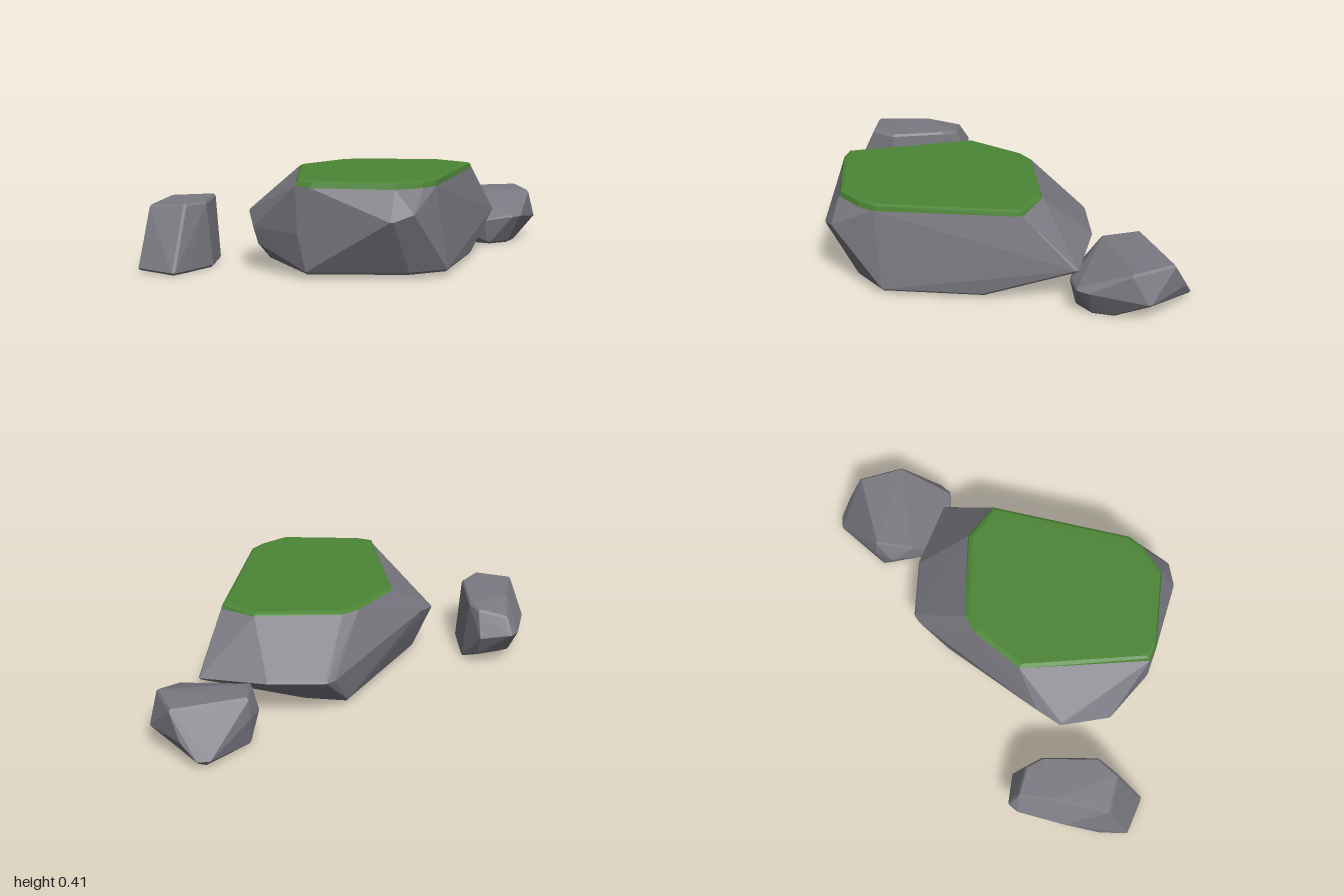
import * as THREE from 'three';
import { ConvexGeometry } from 'three/addons/geometries/ConvexGeometry.js';

const stone = new THREE.MeshStandardMaterial({ color: 0x7b7a82 });
stone.name = 'grey stone';
const moss = new THREE.MeshStandardMaterial({ color: 0x4c8536 });
moss.name = 'green moss';

const vec = ([x, y, z]) => new THREE.Vector3(x, y, z);

// Chiselled stone: each corner becomes a tiny octahedron, so the hull gets narrow bevelled edges
function hull(corners, bevel, sharp = []) {
  const points = corners.map(vec);
  const centre = new THREE.Vector3();
  points.forEach((p) => centre.addScaledVector(p, 1 / points.length));
  const cloud = sharp.map(vec);
  for (const p of points) {
    const inner = p.clone();
    for (const a of ['x', 'y', 'z']) {
      const d = centre[a] - p[a];
      inner[a] += Math.sign(d) * Math.min(Math.abs(d), bevel);
    }
    for (const a of ['x', 'y', 'z']) {
      for (const s of [-1, 1]) {
        const q = inner.clone();
        q[a] += s * bevel;
        cloud.push(q);
      }
    }
  }
  return new ConvexGeometry(cloud);
}

function addPart(group, name, geometry, material) {
  const mesh = new THREE.Mesh(geometry, material);
  mesh.name = name;
  group.add(mesh);
}

export function createModel() {
  const group = new THREE.Group();
  group.name = 'mossyRocks';

  // Lower edge of the moss around the flat top of the large rock; it hangs lower at the front
  const rim = [
    [-0.22, 0.406, -0.2], [0.04, 0.406, -0.2], [0.12, 0.406, -0.17], [0.36, 0.402, 0.13],
    [0.37, 0.392, 0.31], [-0.2, 0.386, 0.6], [-0.28, 0.386, 0.6], [-0.41, 0.386, 0.56],
    [-0.61, 0.386, 0.27], [-0.63, 0.392, 0.2],
  ];
  const inset = (scale, y) => rim.map(([x, , z]) => [-0.12 + (x + 0.12) * scale, y, 0.2 + (z - 0.2) * scale]);

  // Large flat-topped rock
  addPart(group, 'largeRock', hull([
    // shoulders
    [0.61, 0.18, 0.25], [0.51, 0.2, -0.06], [0.36, 0.2, -0.26], [0.32, 0.2, -0.27],
    [-0.38, 0.27, -0.26], [-0.5, 0.24, -0.24], [-0.63, 0.2, -0.07], [-0.63, 0.2, 0.22],
    [-0.4, 0.3, 0.65], [-0.47, 0.27, 0.6],
    // base
    [0.25, 0.02, 0.42], [-0.15, 0.02, 0.62], [-0.33, 0.02, 0.56], [-0.61, 0.02, 0.25],
    [-0.62, 0.11, -0.05], [-0.45, 0.02, -0.17], [0.18, 0.02, -0.24], [0.27, 0.02, -0.08],
  ], 0.01, rim), stone);

  // Moss cap with a sloping rim
  addPart(group, 'mossCap', new ConvexGeometry([...rim, ...inset(0.985, 0.409), ...inset(0.95, 0.415)].map(vec)), moss);

  // Small rock on the left, its back outer corner sloping to the ground
  addPart(group, 'leftRock', hull([
    // top
    [0.57, 0.215, -0.03], [0.7, 0.235, -0.12], [0.985, 0.235, 0.07], [0.88, 0.23, 0.25],
    // middle
    [0.7, 0.14, 0.33], [0.64, 0.14, 0.33], [0.56, 0.12, 0.24], [0.62, 0.15, -0.11],
    [0.7, 0.15, -0.13], [1.0, 0.12, 0.0], [0.95, 0.09, 0.23],
    // base
    [0.5, 0.07, 0.08], [0.55, 0.0, 0.05], [0.59, 0.0, 0.24], [0.68, 0.0, 0.27], [0.79, 0.0, 0.24],
    [0.99, 0.03, -0.08], [0.96, 0.03, -0.11], [0.94, 0.0, -0.08], [0.68, 0.0, -0.11],
  ], 0.01), stone);

  // Small rock at the back right
  addPart(group, 'backRightRock', hull([
    // top
    [-0.91, 0.28, -0.4], [-0.84, 0.29, -0.26], [-0.73, 0.29, -0.26], [-0.53, 0.29, -0.41],
    [-0.5, 0.28, -0.5], [-0.55, 0.26, -0.61], [-0.7, 0.29, -0.53],
    // middle
    [-0.46, 0.17, -0.54], [-0.53, 0.19, -0.65], [-0.58, 0.19, -0.65], [-0.79, 0.18, -0.56],
    // base
    [-1.0, 0.01, -0.37], [-0.95, 0.0, -0.21], [-0.87, 0.0, -0.22], [-0.7, 0.0, -0.25],
    [-0.53, 0.0, -0.38], [-0.5, 0.05, -0.5], [-0.57, 0.06, -0.57], [-0.73, 0.0, -0.53], [-0.91, 0.01, -0.46],
  ], 0.01), stone);

  return group;
}
